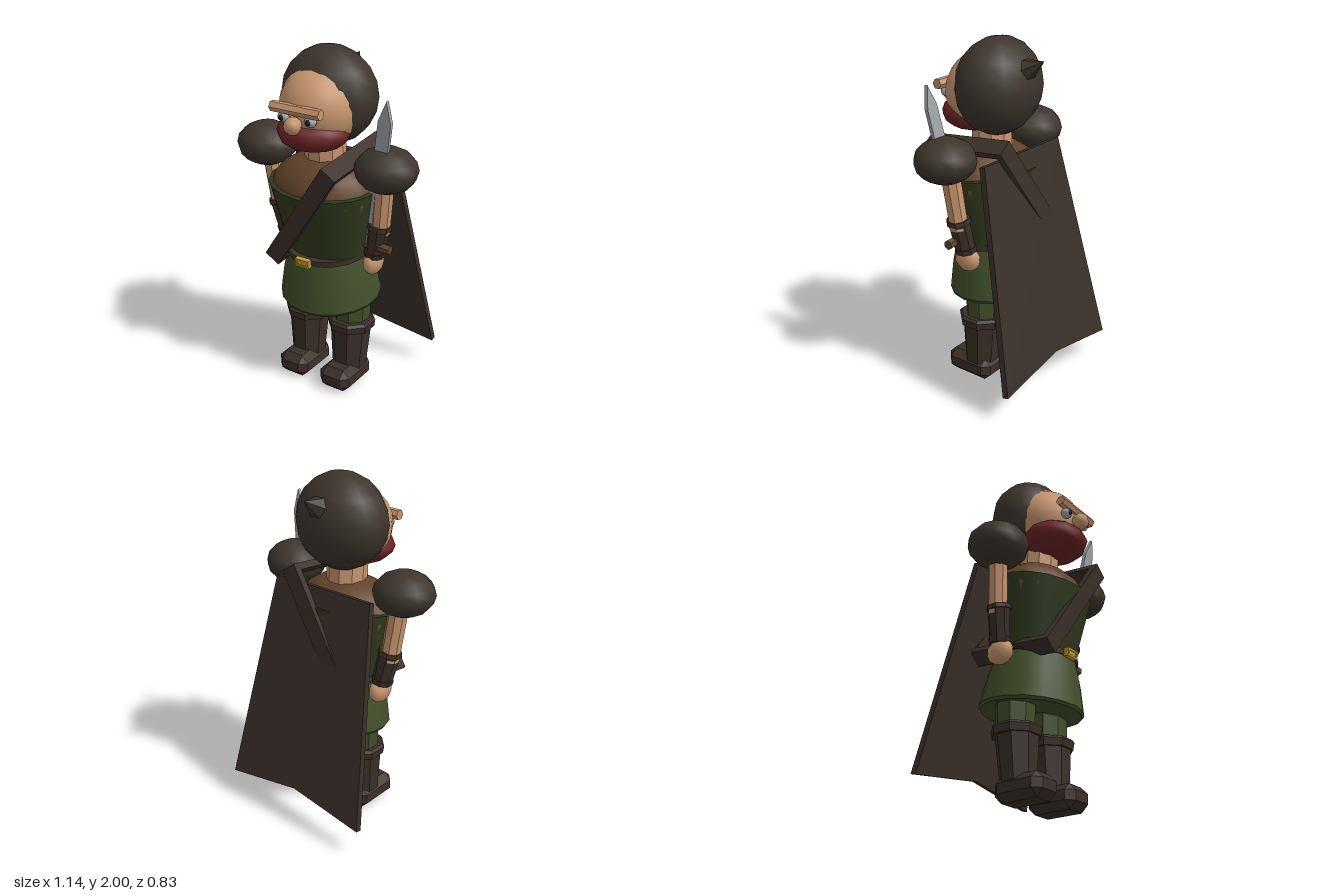
import * as THREE from 'three';
import { ConvexGeometry } from 'three/addons/geometries/ConvexGeometry.js';

const V = (x, y, z) => new THREE.Vector3(x, y, z);

export function createModel() {
  const mat = (name, color) => {
    const m = new THREE.MeshStandardMaterial({ color });
    m.name = name;
    return m;
  };
  const hair = mat('dark hair and fur', 0x3d352d);
  const leather = mat('dark leather', 0x3b3029);
  const skin = mat('skin', 0xc8966f);
  const green = mat('green cloth', 0x414f29);
  const darkGreen = mat('dark green tunic', 0x303a1e);
  const brown = mat('brown leather', 0x62442a);
  const red = mat('red beard', 0x6c2426);
  const steel = mat('steel', 0xa2a6aa);
  const gold = mat('gold', 0xc29a30);
  const black = mat('black pupil', 0x17171a);

  const model = new THREE.Group();
  const add = (parent, name, geo, material, pos = V(0, 0, 0)) => {
    const mesh = new THREE.Mesh(geo, material);
    mesh.name = name;
    mesh.position.copy(pos);
    parent.add(mesh);
    return mesh;
  };
  const faceted = (geo) => {
    const g = geo.index ? geo.toNonIndexed() : geo;
    g.computeVertexNormals();
    return g;
  };
  const ellipsoid = (parent, name, material, pos, r, seg = 12, rings = 8) => {
    const g = new THREE.SphereGeometry(1, seg, rings);
    g.scale(...r);
    return add(parent, name, g, material, pos);
  };
  // Faceted tapered limb running from a (top) to b (bottom)
  const limb = (parent, name, material, a, b, ra, rb, sides = 8) => {
    const dir = a.clone().sub(b);
    const g = new THREE.CylinderGeometry(ra, rb, dir.length(), sides);
    g.rotateY(Math.PI / sides);
    const mesh = add(parent, name, faceted(g), material, a.clone().add(b).multiplyScalar(0.5));
    mesh.quaternion.setFromUnitVectors(V(0, 1, 0), dir.normalize());
    return mesh;
  };
  // Box with every edge cut off by c
  const chamferBox = (w, h, d, c) => {
    const pts = [];
    for (const sx of [-1, 1]) for (const sy of [-1, 1]) for (const sz of [-1, 1]) {
      const x = w / 2, y = h / 2, z = d / 2;
      pts.push(V(sx * x, sy * (y - c), sz * (z - c)), V(sx * (x - c), sy * y, sz * (z - c)), V(sx * (x - c), sy * (y - c), sz * z));
    }
    return new ConvexGeometry(pts);
  };

  // Head
  const head = new THREE.Group();
  head.name = 'head';
  model.add(head);
  ellipsoid(head, 'hair', hair, V(0, 1.73, 0.02), [0.278, 0.27, 0.225], 14, 10);
  ellipsoid(head, 'face', skin, V(0, 1.69, 0.1), [0.228, 0.225, 0.234], 16, 12);
  ellipsoid(head, 'beard', red, V(0, 1.565, 0.17), [0.205, 0.105, 0.197], 12, 8);
  ellipsoid(head, 'nose', skin, V(0, 1.642, 0.362), [0.05, 0.05, 0.05], 8, 6);
  const brow = new THREE.CylinderGeometry(0.03, 0.03, 0.31, 6);
  brow.rotateZ(Math.PI / 2);
  add(head, 'brow', faceted(brow), skin, V(0, 1.718, 0.33));
  for (const s of [-1, 1]) {
    ellipsoid(head, 'eye', steel, V(s * 0.085, 1.668, 0.322), [0.034, 0.03, 0.03], 10, 8);
    ellipsoid(head, 'pupil', black, V(s * 0.085, 1.668, 0.343), [0.018, 0.018, 0.014], 8, 6);
  }
  limb(head, 'topknot', hair, V(0, 1.9, -0.278), V(0, 1.845, -0.17), 0, 0.063, 6);
  limb(head, 'neck', skin, V(0, 1.5, 0.07), V(0, 1.34, 0.06), 0.115, 0.115, 10);

  // Body, leaning slightly forward from the hem
  const body = new THREE.Group();
  body.name = 'body';
  body.position.set(0, 0.54, 0.007);
  body.rotation.x = 0.1;
  model.add(body);
  // Each profile run becomes its own smooth band, so the rims stay sharp
  const lathe = (name, material, depth, ...runs) => runs.forEach((pts) => {
    const g = new THREE.LatheGeometry(pts.map((p) => new THREE.Vector2(...p)), 18);
    g.scale(1, 1, depth);
    add(body, name, g, material);
  });
  lathe('skirt', green, 0.985, [[0, 0.02], [0.285, -0.005]], [[0.285, -0.005], [0.295, 0.012]],
    [[0.295, 0.012], [0.266, 0.17], [0.228, 0.31]]);
  lathe('tunic', darkGreen, 0.8, [[0.245, 0.3], [0.27, 0.42], [0.303, 0.58], [0.33, 0.715]], [[0.33, 0.715], [0.29, 0.72]]);
  lathe('belt', leather, 0.96, [[0.2, 0.292], [0.246, 0.294]], [[0.246, 0.294], [0.246, 0.326]], [[0.246, 0.326], [0.2, 0.328]]);
  ellipsoid(body, 'shoulder yoke', brown, V(0, 0.665, 0), [0.318, 0.212, 0.25], 18, 10);
  for (const y of [-0.018, 0.018]) add(body, 'buckle bar', new THREE.BoxGeometry(0.09, 0.012, 0.03), gold, V(-0.005, 0.31 + y, 0.243));
  for (const x of [-0.038, 0.038]) add(body, 'buckle side', new THREE.BoxGeometry(0.014, 0.045, 0.03), gold, V(-0.005 + x, 0.31, 0.243));
  add(body, 'buckle plate', new THREE.BoxGeometry(0.07, 0.034, 0.02), gold, V(-0.005, 0.31, 0.243));

  // Baldric: a square leather loop slung across the body
  const strap = new THREE.Group();
  strap.name = 'baldric';
  strap.position.set(0, 0.595, -0.012);
  strap.rotation.z = -0.6;
  body.add(strap);
  for (const s of [-1, 1]) {
    add(strap, 'strap face', new THREE.BoxGeometry(0.1, 0.75, 0.04), leather, V(0, 0, s * 0.252));
    add(strap, 'strap end', new THREE.BoxGeometry(0.1, 0.04, 0.5), leather, V(0, s * 0.355, 0));
  }

  // Cape: flared slab with a notched hem, leaning backwards
  const cape = new THREE.Shape([[-0.335, 0], [-0.48, -1.255], [0, -1.185], [0.48, -1.255], [0.335, 0]].map((p) => new THREE.Vector2(...p)));
  const capeMesh = add(model, 'cape', new THREE.ExtrudeGeometry(cape, { depth: 0.036, bevelEnabled: false }), leather, V(0, 1.385, -0.147));
  capeMesh.rotation.x = 0.215;

  for (const s of [-1, 1]) {
    // Arm
    const arm = new THREE.Group();
    arm.name = s > 0 ? 'left arm' : 'right arm';
    model.add(arm);
    ellipsoid(arm, 'pauldron', hair, V(s * 0.392, 1.395, 0.072), [0.176, 0.126, 0.17], 12, 8);
    limb(arm, 'upper arm', skin, V(s * 0.378, 1.36, 0.06), V(s * 0.338, 1.0, 0.03), 0.056, 0.054);
    limb(arm, 'bracer', leather, V(s * 0.335, 1.04, 0.036), V(s * 0.3, 0.865, 0.018), 0.064, 0.056);
    limb(arm, 'bracer cuff', leather, V(s * 0.338, 1.058, 0.037), V(s * 0.333, 1.032, 0.036), 0.066, 0.072);
    limb(arm, 'bracer wrist', leather, V(s * 0.302, 0.88, 0.02), V(s * 0.298, 0.85, 0.017), 0.064, 0.06);
    const hand = new THREE.IcosahedronGeometry(1, 1);
    hand.scale(0.052, 0.075, 0.082);
    add(arm, 'hand', hand, skin, V(s * 0.29, 0.805, 0.015));

    // Leg
    const leg = new THREE.Group();
    leg.name = s > 0 ? 'left leg' : 'right leg';
    model.add(leg);
    limb(leg, 'trouser', green, V(s * 0.148, 0.62, 0.01), V(s * 0.148, 0.36, 0.012), 0.114, 0.106);
    limb(leg, 'boot shaft', leather, V(s * 0.148, 0.38, 0.022), V(s * 0.146, 0.08, 0.035), 0.122, 0.098);
    limb(leg, 'boot cuff lower', leather, V(s * 0.149, 0.4, 0.02), V(s * 0.149, 0.358, 0.02), 0.143, 0.136);
    limb(leg, 'boot cuff upper', leather, V(s * 0.149, 0.416, 0.02), V(s * 0.149, 0.4, 0.02), 0.13, 0.143);
    add(leg, 'boot foot', chamferBox(0.2, 0.14, 0.305, 0.042), leather, V(s * 0.146, 0.07, 0.078));
  }

  // Sword carried point up against the left arm
  const sword = new THREE.Group();
  sword.name = 'sword';
  sword.position.set(0.29, 0.925, 0.048);
  sword.rotation.set(0.12, 0, -0.165);
  model.add(sword);
  const blade = new THREE.Shape([[-0.043, 0], [0.043, 0], [0.04, 0.77], [0, 0.89], [-0.036, 0.77]].map((p) => new THREE.Vector2(...p)));
  add(sword, 'blade', new THREE.ExtrudeGeometry(blade, { depth: 0.022, bevelEnabled: false }), steel, V(0, 0, -0.011));
  limb(sword, 'crossguard', brown, V(0.125, 0.016, 0), V(-0.125, -0.016, 0), 0.028, 0.028, 6);
  limb(sword, 'grip', brown, V(0, 0, 0), V(0, -0.13, 0), 0.022, 0.022, 6);

  return model;
}
